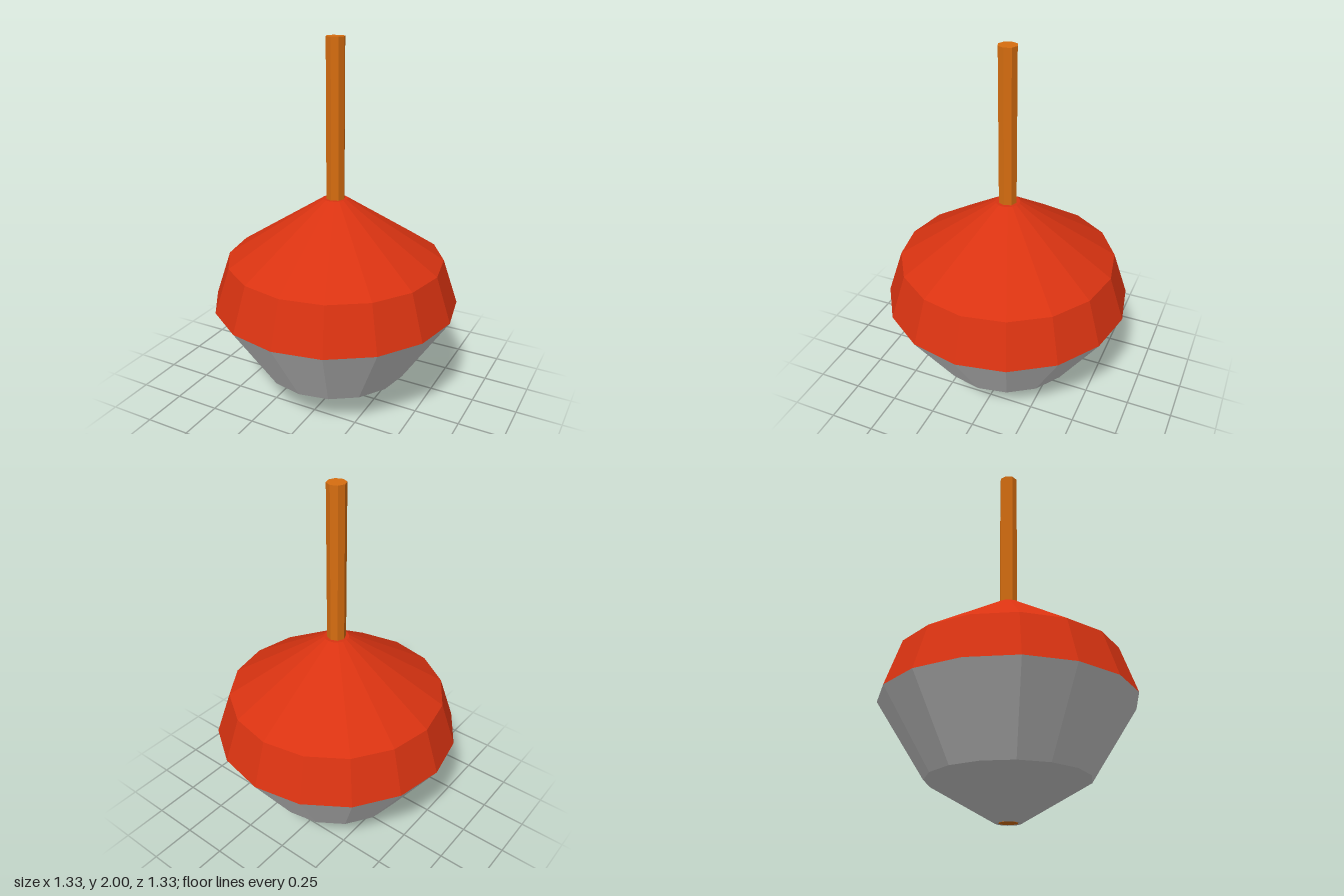
import * as THREE from 'three';

const SIDES = 16;

function paint(name, color) {
  const material = new THREE.MeshStandardMaterial({ color, flatShading: true });
  material.name = name;
  return material;
}

// Faceted turned section; profile is [radius, height], listed bottom to top
function turned(name, profile, material) {
  const points = profile.map(([r, y]) => new THREE.Vector2(r, y));
  const mesh = new THREE.Mesh(new THREE.LatheGeometry(points, SIDES), material);
  mesh.name = name;
  return mesh;
}

export function createModel() {
  const group = new THREE.Group();
  group.name = 'spinningTop';
  const red = paint('red', 0xd93311);
  const grey = paint('grey', 0xc8c8c8);
  const wood = paint('orangeWood', 0xd66d10);

  // Lower body, tapering to a small foot slightly hollowed around the stick
  group.add(turned('lowerBody', [[0, 0.004], [0.066, 0], [0.415, 0.2], [0.667, 0.59]], grey));

  // Upper body with a sloped shoulder and flat collar
  group.add(turned('upperBody', [[0.667, 0.59], [0.585, 0.835], [0.066, 1.17], [0, 1.17]], red));

  // Stick running through the body from foot to handle
  const stick = new THREE.Mesh(new THREE.CylinderGeometry(0.05, 0.05, 2, 8), wood);
  stick.name = 'stick';
  stick.position.y = 1;
  group.add(stick);

  return group;
}
